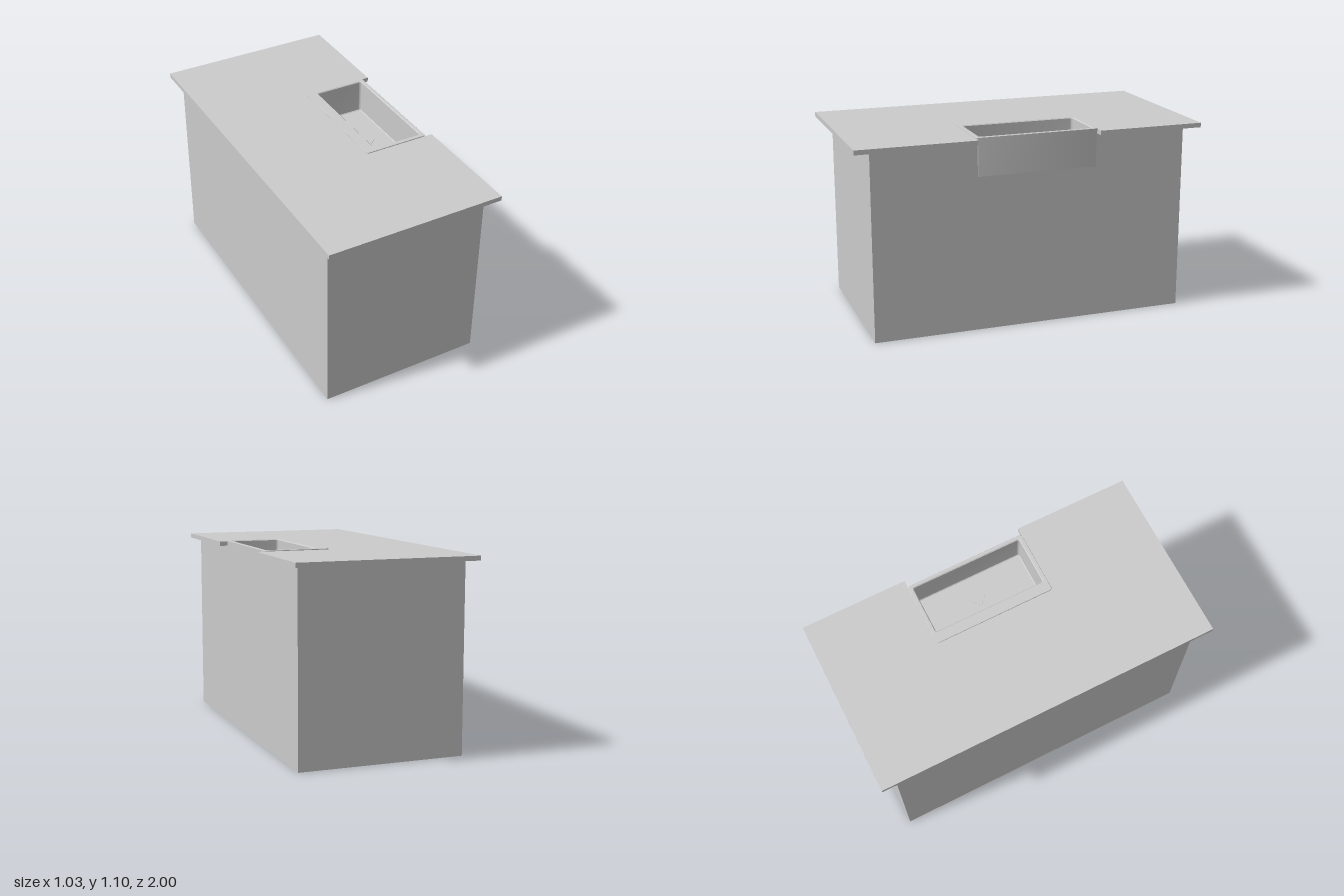
import * as THREE from 'three';
import { toCreasedNormals } from 'three/addons/utils/BufferGeometryUtils.js';

const material = new THREE.MeshStandardMaterial({ color: 0xcccccc });
const openMaterial = new THREE.MeshStandardMaterial({ color: 0xcccccc, side: THREE.DoubleSide });

function part(name, geometry, mat = material) {
  const mesh = new THREE.Mesh(geometry, mat);
  mesh.name = name;
  return mesh;
}

// Horizontal rounded rectangle as a loop of points at height y
function roundedLoop(x0, x1, z0, z1, r, y, steps = 4) {
  const corners = [[x1 - r, z1 - r], [x0 + r, z1 - r], [x0 + r, z0 + r], [x1 - r, z0 + r]];
  const loop = [];
  corners.forEach(([cx, cz], k) => {
    for (let i = 0; i <= steps; i++) {
      const a = (k + i / steps) * Math.PI / 2;
      loop.push([cx + r * Math.cos(a), y, cz + r * Math.sin(a)]);
    }
  });
  return loop;
}

// Skin successive loops, closing the first and last with a fan
function loft(loops) {
  const n = loops[0].length;
  const points = loops.flat();
  const index = [];
  for (let j = 0; j < loops.length - 1; j++) {
    for (let i = 0; i < n; i++) {
      const a = j * n + i, b = j * n + (i + 1) % n;
      index.push(a, a + n, b, b, a + n, b + n);
    }
  }
  const last = (loops.length - 1) * n;
  for (let i = 1; i < n - 1; i++) {
    index.push(0, i, i + 1);
    index.push(last, last + i + 1, last + i);
  }
  const geometry = new THREE.BufferGeometry();
  geometry.setAttribute('position', new THREE.Float32BufferAttribute(points.flat(), 3));
  geometry.setIndex(index);
  return toCreasedNormals(geometry, 0.5);
}

export function createModel() {
  const group = new THREE.Group();

  // Sink extents, shared with the countertop cut-out
  const sink = { x0: 0.095, x1: 0.473, z0: -0.384, z1: 0.325, bottom: 0.882, top: 1.099 };

  // Cabinet: a box left open at the top so the basin can drop in
  const cabinet = new THREE.BoxGeometry(0.942, 1.068, 1.82);
  const faces = Array.from(cabinet.index.array);
  cabinet.setIndex([...faces.slice(0, 12), ...faces.slice(18)]);
  cabinet.clearGroups();
  cabinet.translate(0, 0.534, 0);
  group.add(part('cabinet', cabinet, openMaterial));

  // Countertop: overhanging slab notched around the sink
  const outline = new THREE.Shape([
    [-0.514, -1], [0.514, -1], [0.514, -sink.z1], [sink.x0 + 0.01, -sink.z1],
    [sink.x0 + 0.01, -sink.z0], [0.514, -sink.z0], [0.514, 1], [-0.514, 1],
  ].map(([x, y]) => new THREE.Vector2(x, y)));
  const slab = new THREE.ExtrudeGeometry(outline, { depth: 0.026, bevelEnabled: false });
  slab.rotateX(-Math.PI / 2).translate(0, 1.067, 0);
  group.add(part('countertop', slab));

  // Sink: outer apron, flat rim, eased inner edge, basin walls and floor
  const { x0, x1, z0, z1, bottom, top } = sink;
  group.add(part('sink', loft([
    roundedLoop(x0, x1, z0, z1, 0.015, bottom),
    roundedLoop(x0, x1, z0, z1, 0.015, top - 0.002),
    roundedLoop(x0 + 0.002, x1 - 0.002, z0 + 0.002, z1 - 0.002, 0.013, top),
    roundedLoop(0.155, 0.455, -0.364, 0.304, 0.015, top),
    roundedLoop(0.16, 0.45, -0.359, 0.299, 0.012, top - 0.005),
    roundedLoop(0.16, 0.45, -0.359, 0.299, 0.012, 0.905),
    roundedLoop(0.165, 0.445, -0.354, 0.294, 0.008, 0.9),
  ])));

  // Drain: thin four-sided plate on the basin floor
  const drain = new THREE.CylinderGeometry(0.05, 0.05, 0.004, 4);
  drain.scale(1, 1, 0.86);
  drain.translate(0.31, 0.901, -0.035);
  group.add(part('drain', toCreasedNormals(drain, 0.5)));

  return group;
}
